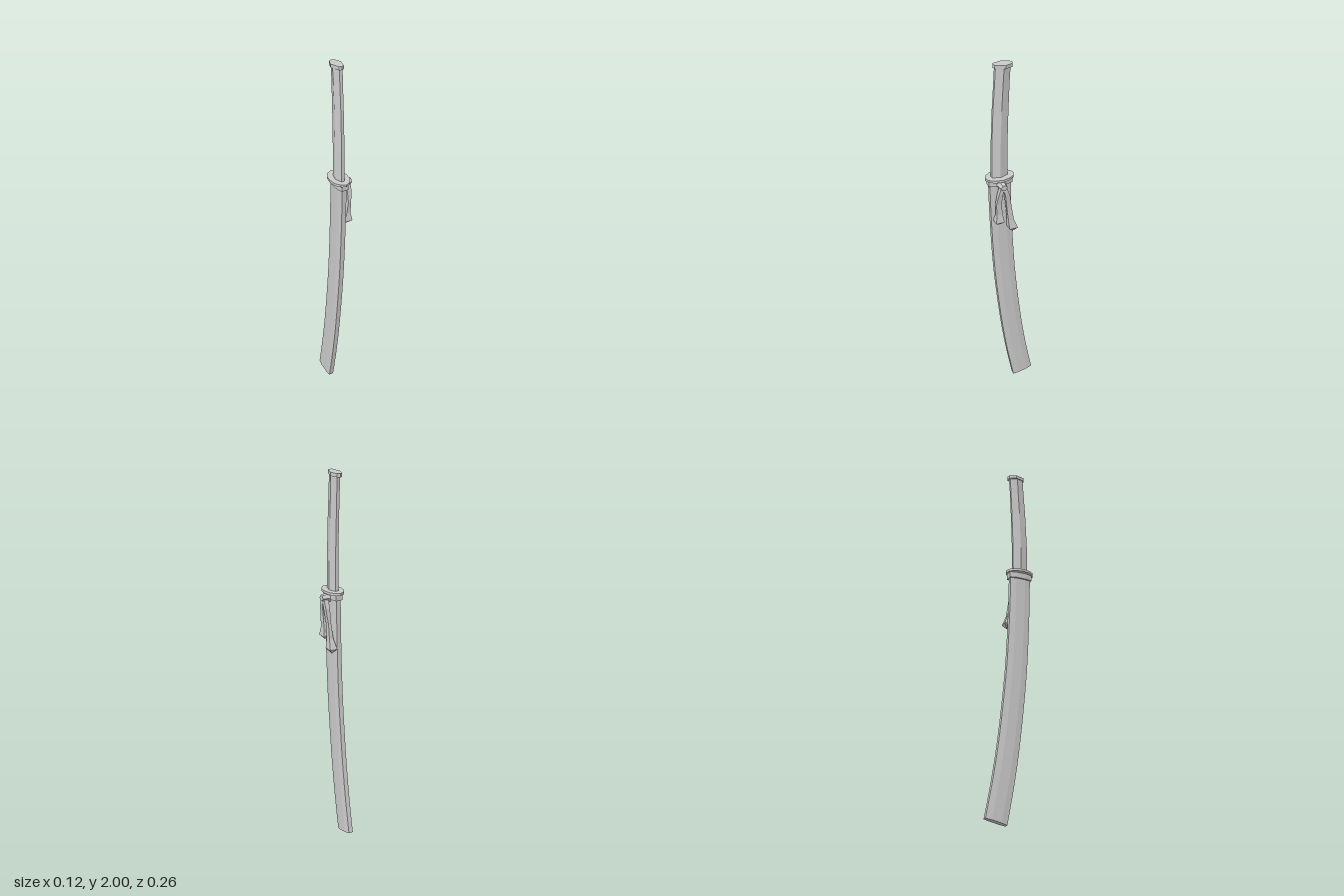
import * as THREE from 'three';

const material = new THREE.MeshStandardMaterial({ color: 0xcccccc, flatShading: true });

// Unit cross-sections as [x, z], counter-clockwise seen from above
const scabbardOutline = [[1, 0.45], [1, -0.45], [0.7, -1], [-0.7, -1], [-1, -0.45], [-1, 0.45], [-0.7, 1], [0.7, 1]];
const hiltOutline = [[1, 0], [0.4, -1], [-0.4, -1], [-1, 0], [-0.4, 1], [0.4, 1]];
const pommelOutline = [[1, -0.1], [0.5, -0.85], [0, -1], [-0.5, -0.85], [-1, -0.1], [-0.45, 0.9], [0, 1], [0.45, 0.9]];
const squareOutline = [[1, 1], [1, -1], [-1, -1], [-1, 1]];
const ovalOutline = Array.from({ length: 12 }, (_, i) => {
  const a = (i / 12) * Math.PI * 2;
  return [Math.cos(a), -Math.sin(a)];
});

// Skin a solid through sections [y, centreX, centreZ, halfX, halfZ, tilt], bottom to top
function loft(name, outline, sections) {
  const n = outline.length;
  const positions = [];
  const index = [];
  for (const [y, cx, cz, hx, hz, tilt = 0] of sections) {
    for (const [x, z] of outline) positions.push(cx + x * hx, y + tilt * z * hz, cz + z * hz);
  }
  for (let s = 0; s < sections.length - 1; s++) {
    for (let i = 0; i < n; i++) {
      const a = s * n + i;
      const b = s * n + ((i + 1) % n);
      index.push(a, b, a + n, b, b + n, a + n);
    }
  }
  const top = (sections.length - 1) * n;
  for (let i = 1; i < n - 1; i++) {
    index.push(0, i + 1, i, top, top + i, top + i + 1);
  }
  const geometry = new THREE.BufferGeometry();
  geometry.setAttribute('position', new THREE.Float32BufferAttribute(positions, 3));
  geometry.setIndex(index);
  const flat = geometry.toNonIndexed();
  flat.computeVertexNormals();
  const mesh = new THREE.Mesh(flat, material);
  mesh.name = name;
  return mesh;
}

export function createModel() {
  const group = new THREE.Group();
  group.name = 'sheathedSword';
  const cx = -0.01;

  // Curved scabbard, sampled along a smooth centre line [y, z]
  const spine = new THREE.SplineCurve([
    [0.013, -0.075], [0.2, -0.04], [0.4, -0.01], [0.6, 0.013],
    [0.8, 0.032], [1.0, 0.044], [1.2, 0.052], [1.36, 0.055],
  ].map(([y, z]) => new THREE.Vector2(y, z)));
  const scabbard = spine.getPoints(14).map((p, i) => [p.x, cx, p.y, 0.018, 0.056, -0.22 * (1 - i / 14)]);
  group.add(loft('scabbard', scabbardOutline, scabbard));

  // Collar at the scabbard mouth
  group.add(loft('scabbardCollar', scabbardOutline, [
    [1.345, cx, 0.055, 0.027, 0.063],
    [1.377, cx, 0.055, 0.027, 0.063],
  ]));

  // Oval guard
  group.add(loft('guard', ovalOutline, [
    [1.376, cx, 0.055, 0.05, 0.077],
    [1.389, cx, 0.055, 0.05, 0.077],
  ]));

  // Hilt, slightly curved towards the back
  group.add(loft('hilt', hiltOutline, [
    [1.385, cx, 0.057, 0.022, 0.041],
    [1.55, cx, 0.056, 0.021, 0.041],
    [1.75, cx, 0.049, 0.02, 0.04],
    [1.9, cx, 0.041, 0.021, 0.038],
    [1.982, cx, 0.036, 0.022, 0.038],
  ]));
  group.add(loft('pommel', pommelOutline, [
    [1.979, cx, 0.034, 0.028, 0.05, 0.06],
    [1.997, cx, 0.034, 0.028, 0.05, 0.06],
  ]));

  // Cord knot on the left side of the scabbard
  const knot = new THREE.Mesh(new THREE.CylinderGeometry(0.017, 0.026, 0.046, 6), material);
  knot.name = 'cordKnot';
  knot.rotation.z = -Math.PI / 2;
  knot.position.set(0.035, 1.352, 0.056);
  group.add(knot);

  // Two hanging cords, narrow in the middle, with flared pointed ends
  group.add(loft('frontCord', squareOutline, [
    [1.118, 0.026, 0.074, 0.002, 0.002],
    [1.138, 0.027, 0.074, 0.021, 0.023],
    [1.185, 0.03, 0.074, 0.011, 0.015],
    [1.25, 0.034, 0.079, 0.008, 0.014],
    [1.31, 0.038, 0.071, 0.012, 0.011],
    [1.35, 0.038, 0.06, 0.013, 0.01],
  ]));
  group.add(loft('backCord', squareOutline, [
    [1.062, 0.03, 0, 0.002, 0.002],
    [1.088, 0.031, 0.002, 0.021, 0.023],
    [1.14, 0.033, 0.014, 0.012, 0.015],
    [1.22, 0.035, 0.024, 0.008, 0.013],
    [1.3, 0.039, 0.035, 0.012, 0.012],
    [1.35, 0.038, 0.052, 0.013, 0.01],
  ]));

  return group;
}
